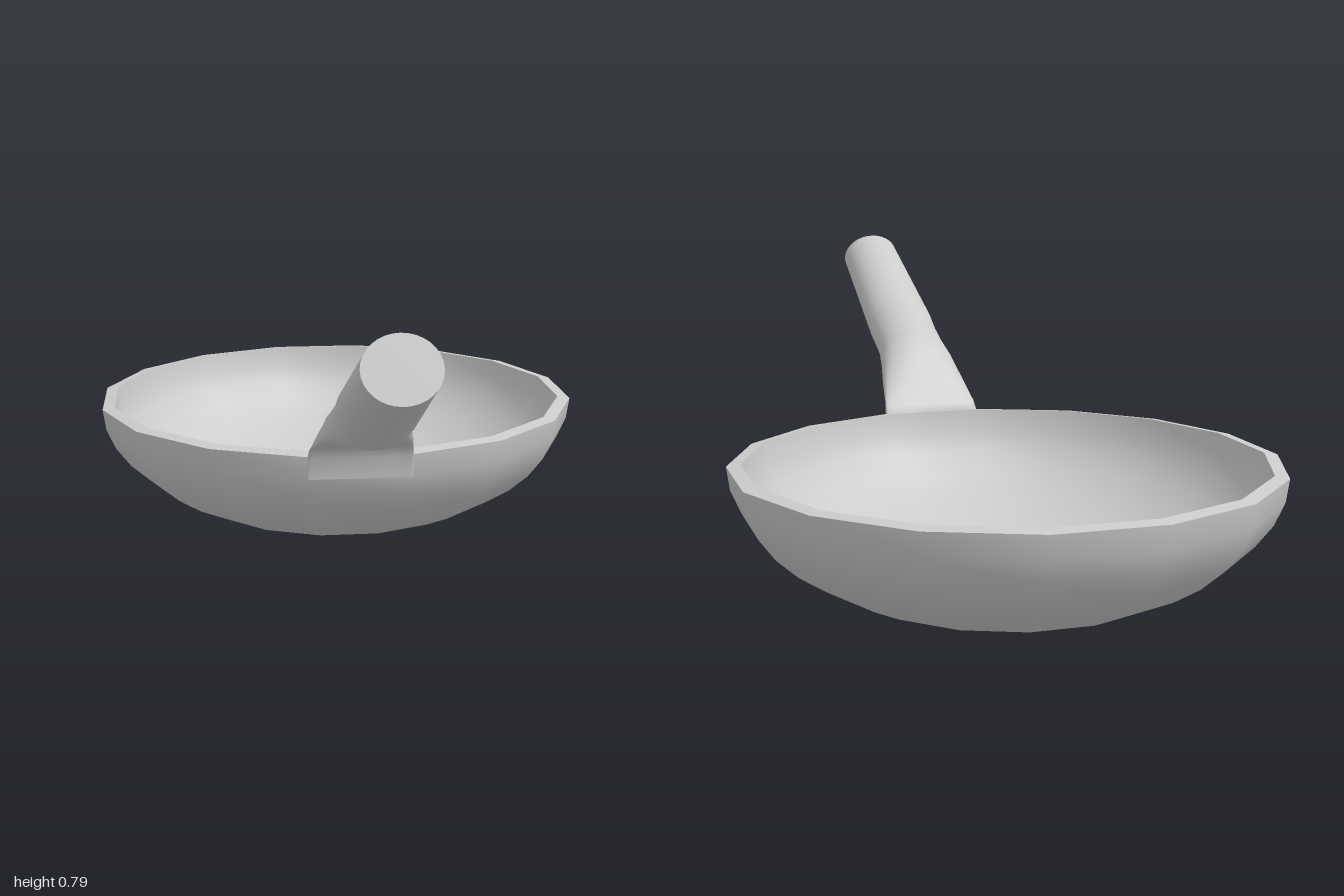
import * as THREE from 'three';

const SIDES = 32;
const material = new THREE.MeshStandardMaterial({ color: 0xcccccc });

function addMesh(parent, geometry, name) {
  const mesh = new THREE.Mesh(geometry, material);
  mesh.name = name;
  parent.add(mesh);
  return mesh;
}

// Quarter ellipse from the bottom centre up to the rim
function bowlProfile(radius, bottom, top, steps = 10) {
  return Array.from({ length: steps + 1 }, (_, i) => {
    const a = (i / steps) * Math.PI / 2;
    return new THREE.Vector2(radius * Math.sin(a), top - (top - bottom) * Math.cos(a));
  });
}

// Each section: top point (z, y), bottom point (z, y), half width, squareness (1 = ellipse)
function loft(sections) {
  const pos = [], index = [];
  const ring = ({ top, bottom, w, p = 1 }) => {
    const cz = (top[0] + bottom[0]) / 2, cy = (top[1] + bottom[1]) / 2;
    for (let j = 0; j < SIDES; j++) {
      const t = (j / SIDES) * Math.PI * 2;
      const c = Math.cos(t), s = Math.sin(t);
      const u = Math.sign(c) * Math.abs(c) ** p, v = Math.sign(s) * Math.abs(s) ** p;
      pos.push(w * u, cy + v * (top[1] - cy), cz + v * (top[0] - cz));
    }
    return [0, cy, cz];
  };
  sections.forEach(ring);
  for (let i = 0; i < sections.length - 1; i++) {
    for (let j = 0; j < SIDES; j++) {
      const k = (j + 1) % SIDES;
      const a = i * SIDES + j, b = i * SIDES + k;
      index.push(a, a + SIDES, b, b, a + SIDES, b + SIDES);
    }
  }
  // Flat caps with their own vertices
  [sections[0], sections[sections.length - 1]].forEach((section, end) => {
    const base = pos.length / 3;
    pos.push(...ring(section));
    for (let j = 0; j < SIDES; j++) {
      const a = base + j, b = base + (j + 1) % SIDES;
      index.push(base + SIDES, end ? b : a, end ? a : b);
    }
  });
  const geometry = new THREE.BufferGeometry();
  geometry.setAttribute('position', new THREE.Float32BufferAttribute(pos, 3));
  geometry.setIndex(index);
  geometry.computeVertexNormals();
  return geometry;
}

export function createModel() {
  const model = new THREE.Group();
  model.name = 'fryingPan';

  // Sixteen-sided bowl with flat sides facing the axes
  const pan = new THREE.Group();
  pan.name = 'pan';
  pan.position.z = -0.362;
  model.add(pan);
  const lathe = (points, name) =>
    addMesh(pan, new THREE.LatheGeometry(points, 16, Math.PI / 16), name);
  lathe(bowlProfile(0.65, 0, 0.357), 'bowlOutside');
  lathe([new THREE.Vector2(0.65, 0.357), new THREE.Vector2(0.617, 0.362)], 'rim');
  lathe(bowlProfile(0.617, 0.033, 0.362).reverse(), 'bowlInside');

  // Handle: round grip, then a neck flattening into a plate on the bowl wall
  const handle = new THREE.Group();
  handle.name = 'handle';
  model.add(handle);
  const joint = { top: [0.575, 0.627], bottom: [0.633, 0.48], w: 0.092 };
  addMesh(handle, loft([
    { top: [0.94, 0.79], bottom: [1.0, 0.66], w: 0.081 },
    joint,
  ]), 'grip');
  addMesh(handle, loft([
    joint,
    { top: [0.5, 0.588], bottom: [0.6, 0.464], w: 0.09 },
    { top: [0.43, 0.555], bottom: [0.555, 0.449], w: 0.09, p: 0.95 },
    { top: [0.385, 0.51], bottom: [0.475, 0.432], w: 0.1, p: 0.8 },
    { top: [0.335, 0.437], bottom: [0.395, 0.416], w: 0.113, p: 0.6 },
    { top: [0.288, 0.375], bottom: [0.305, 0.386], w: 0.125, p: 0.35 },
    { top: [0.272, 0.355], bottom: [0.287, 0.355], w: 0.128, p: 0.2 },
    { top: [0.268, 0.302], bottom: [0.281, 0.302], w: 0.128, p: 0.2 },
  ]), 'neck');

  return model;
}
